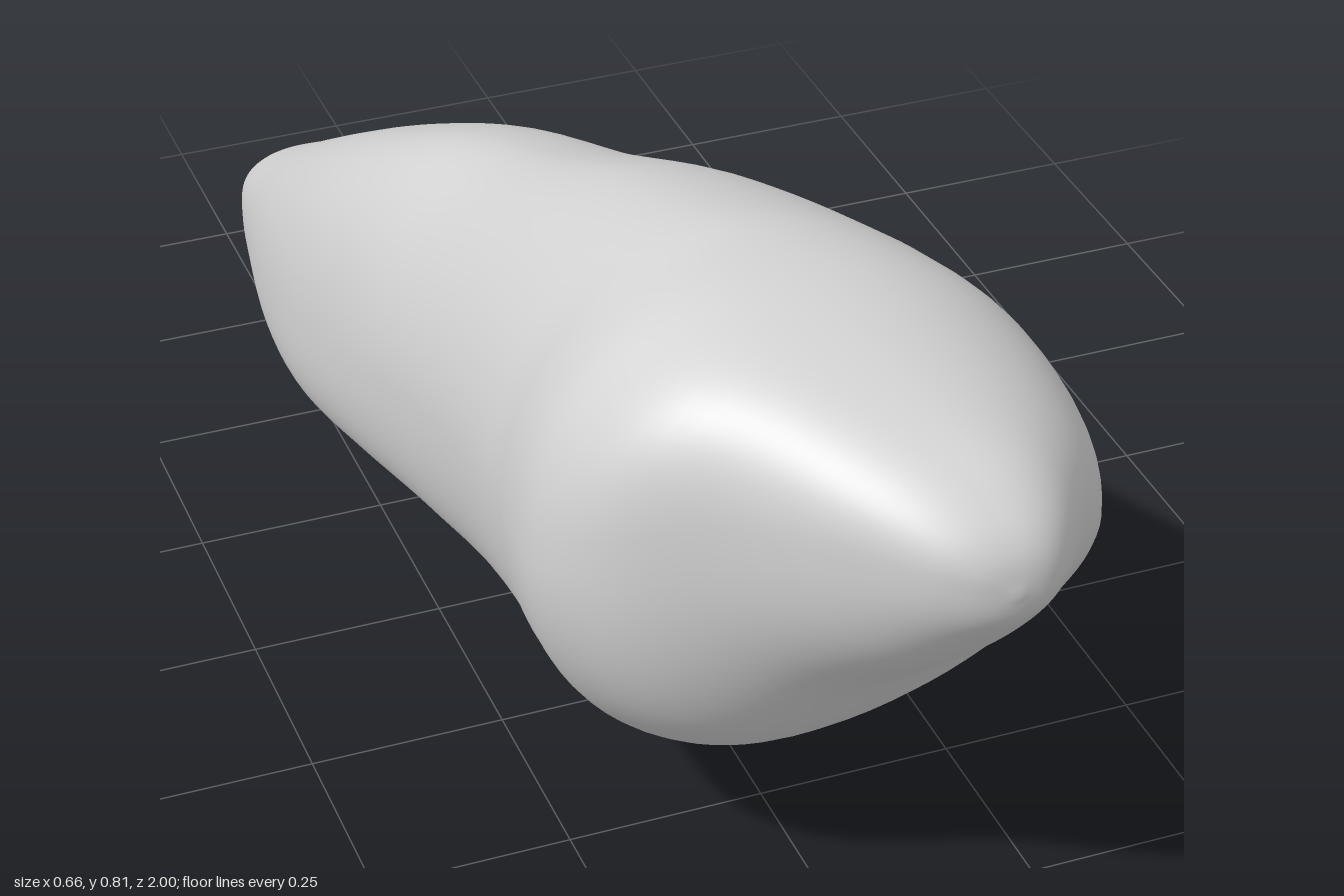
import * as THREE from 'three';

// Cross-sections from the cusp to the root tip:
// [z, rightX, rightY, topX, topY, leftX, leftY, bottomX, bottomY]
const crownSections = [
  [1.0, 0.08, 0.63, 0.08, 0.63, 0.08, 0.63, 0.08, 0.63],
  [0.99, 0.125, 0.63, 0.08, 0.675, 0.03, 0.645, 0.08, 0.59],
  [0.96, 0.16, 0.63, 0.075, 0.712, -0.02, 0.65, 0.07, 0.55],
  [0.9, 0.205, 0.61, 0.06, 0.748, -0.08, 0.65, 0.05, 0.482],
  [0.8, 0.28, 0.55, 0.01, 0.78, -0.17, 0.62, 0.02, 0.385],
  [0.7, 0.32, 0.51, -0.02, 0.803, -0.28, 0.55, -0.03, 0.255],
  [0.6, 0.33, 0.5, -0.03, 0.814, -0.327, 0.5, -0.06, 0.182],
  [0.5, 0.32, 0.5, -0.03, 0.812, -0.324, 0.49, -0.07, 0.153],
];
const rootSections = [
  [0.4, 0.295, 0.5, -0.04, 0.8, -0.31, 0.47, -0.08, 0.145],
  [0.2, 0.22, 0.5, -0.06, 0.742, -0.304, 0.43, -0.11, 0.143],
  [0.0, 0.14, 0.48, -0.1, 0.662, -0.31, 0.37, -0.14, 0.115],
  [-0.2, 0.08, 0.42, -0.13, 0.593, -0.323, 0.29, -0.17, 0.08],
  [-0.4, 0.03, 0.345, -0.15, 0.492, -0.33, 0.22, -0.195, 0.042],
  [-0.6, -0.01, 0.25, -0.16, 0.375, -0.31, 0.17, -0.2, 0.008],
  [-0.8, -0.045, 0.165, -0.155, 0.252, -0.272, 0.12, -0.19, 0.002],
  [-0.9, -0.068, 0.125, -0.155, 0.192, -0.25, 0.1, -0.18, 0.006],
  [-0.96, -0.095, 0.1, -0.155, 0.148, -0.23, 0.09, -0.165, 0.025],
  [-0.99, -0.12, 0.09, -0.155, 0.12, -0.2, 0.088, -0.155, 0.052],
  [-1.0, -0.155, 0.087, -0.155, 0.087, -0.155, 0.087, -0.155, 0.087],
];

// Fullness of each quarter along z (2 is an ellipse, more is squarer):
// [z, upperRight, upperLeft, lowerLeft, lowerRight]
const fullness = [
  [1.0, 2.2, 2.5, 2.3, 1.9],
  [0.75, 2.1, 2.7, 2.3, 1.85],
  [0.6, 2.1, 2.3, 1.95, 1.85],
  [0.4, 1.85, 1.95, 2.05, 1.85],
  [0.0, 1.9, 1.88, 2.4, 1.95],
  [-0.4, 2.1, 2.3, 2.35, 1.9],
  [-1.0, 2.4, 2.4, 2.3, 2.1],
];

function fullnessAt(z) {
  let k = 0;
  while (k < fullness.length - 2 && z < fullness[k + 1][0]) k++;
  const [a, b] = [fullness[k], fullness[k + 1]];
  const t = THREE.MathUtils.smoothstep(a[0] - z, 0, a[0] - b[0]);
  return [1, 2, 3, 4].map((q) => THREE.MathUtils.lerp(a[q], b[q], t));
}

// Loft through the sections; four rounded quarters join the extreme points
function loft(sections, steps = 5, sides = 72) {
  const rails = [1, 3, 5, 7].map((k) => new THREE.CatmullRomCurve3(
    sections.map((s) => new THREE.Vector3(s[k], s[k + 1], s[0])), false, 'catmullrom', 0.5));
  const rows = (sections.length - 1) * steps;
  const pos = [], index = [];
  const first = sections[0], last = sections[sections.length - 1];
  pos.push(first[1], first[2], first[0]);
  for (let i = 1; i < rows; i++) {
    const [right, top, left, bottom] = rails.map((c) => c.getPoint(i / rows));
    const full = fullnessAt(right.z);
    for (let j = 0; j < sides; j++) {
      const a = (j / sides) * Math.PI * 2, c = Math.cos(a), s = Math.sin(a);
      const side = c >= 0 ? right : left, end = s >= 0 ? top : bottom;
      const power = 2 / full[Math.floor((j * 4) / sides)];
      pos.push(
        end.x + (side.x - end.x) * Math.abs(c) ** power,
        side.y + (end.y - side.y) * Math.abs(s) ** power,
        right.z);
    }
  }
  const tip = pos.length / 3;
  pos.push(last[1], last[2], last[0]);
  const id = (i, j) => 1 + (i - 1) * sides + (j % sides);
  for (let j = 0; j < sides; j++) {
    index.push(0, id(1, j), id(1, j + 1));
    for (let i = 1; i < rows - 1; i++) {
      const a = id(i, j), b = id(i, j + 1), c = id(i + 1, j), d = id(i + 1, j + 1);
      index.push(a, c, b, b, c, d);
    }
    index.push(id(rows - 1, j), tip, id(rows - 1, j + 1));
  }
  const geometry = new THREE.BufferGeometry();
  geometry.setAttribute('position', new THREE.Float32BufferAttribute(pos, 3));
  geometry.setIndex(index);
  geometry.computeVertexNormals();
  return geometry;
}

export function createModel() {
  const group = new THREE.Group();
  group.name = 'tooth';
  const enamel = new THREE.MeshStandardMaterial({ color: 0xd4d4d4 });
  enamel.name = 'light grey enamel';

  // One continuous skin over crown and root
  const tooth = new THREE.Mesh(loft([...crownSections, ...rootSections]), enamel);
  tooth.name = 'crownAndRoot';
  group.add(tooth);
  return group;
}
